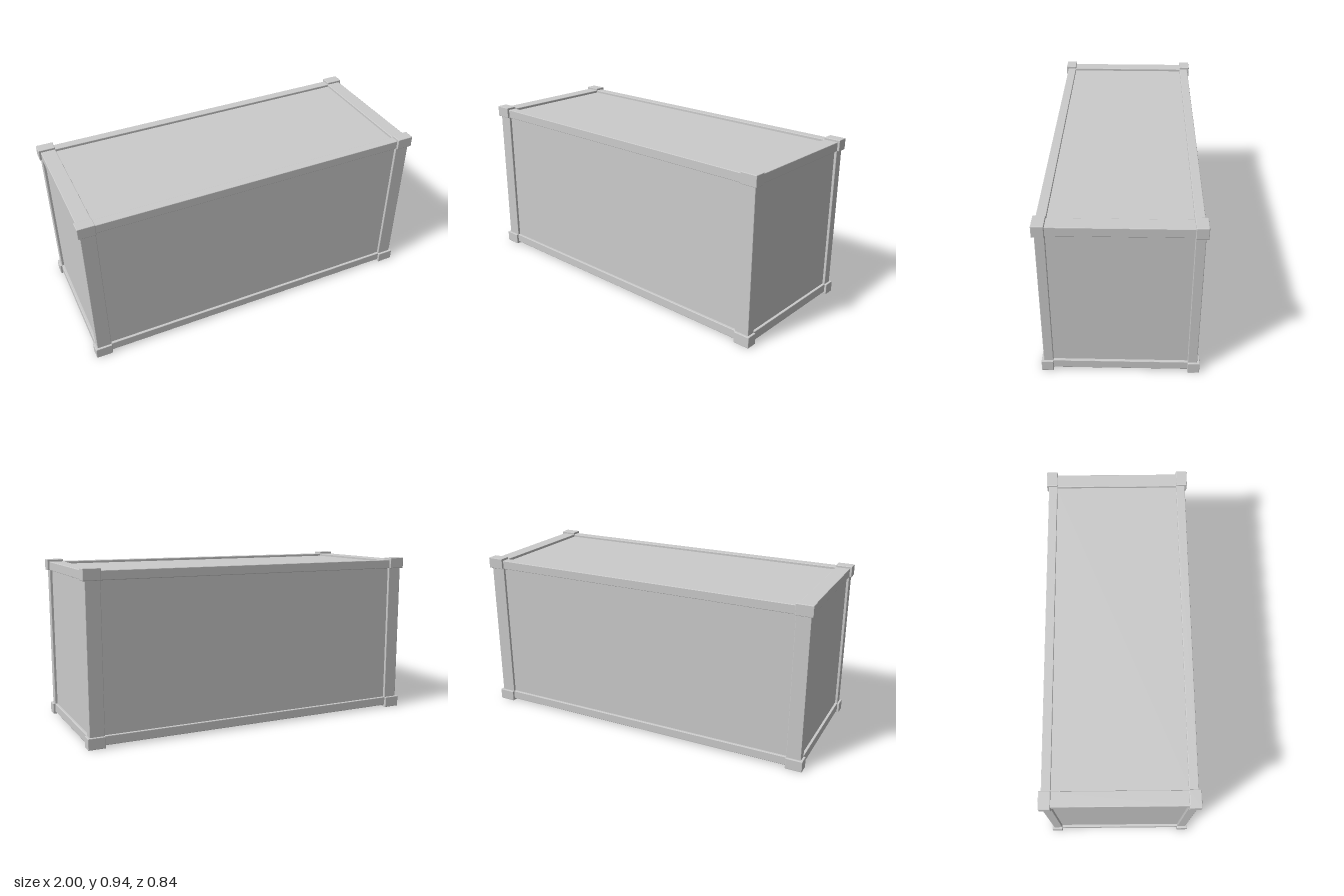
import * as THREE from 'three';
import { RoundedBoxGeometry } from 'three/addons/geometries/RoundedBoxGeometry.js';

// Overall half sizes and the corner block size
const X = 1, Y = 0.4675, Z = 0.418;
const CX = 0.095, CY = 0.063, CZ = 0.063;
const STEP = 0.0125;  // frame bars sit this far inside the corner blocks
const INSET = 0.027;  // wall panels sit this far inside the corner blocks
const BEVEL = 0.003;

export function createModel() {
  const model = new THREE.Group();
  model.name = 'cargoContainer';
  const material = new THREE.MeshStandardMaterial({ color: 0xcccccc, flatShading: true });

  const add = (name, size, pos, bevel = BEVEL) => {
    const geometry = bevel ? new RoundedBoxGeometry(...size, 1, bevel) : new THREE.BoxGeometry(...size);
    const mesh = new THREE.Mesh(geometry, material);
    mesh.name = name;
    mesh.position.set(pos[0], pos[1] + Y, pos[2]);
    model.add(mesh);
  };

  // Closed body: walls, roof and floor
  add('bodyPanels', [2 * (X - INSET), 2 * (Y - INSET), 2 * (Z - INSET)], [0, 0, 0], 0);

  // Bar thickness and centre line along each axis
  const tx = CX - STEP, ty = CY - STEP, tz = CZ - STEP;
  const bx = X - STEP - tx / 2, by = Y - STEP - ty / 2, bz = Z - STEP - tz / 2;
  const lap = 0.02; // bars run slightly into the corner blocks

  for (const a of [-1, 1]) {
    for (const b of [-1, 1]) {
      add('sideRail', [2 * (X - CX) + lap, ty, tz], [0, a * by, b * bz]);
      add('cornerPost', [tx, 2 * (Y - CY) + lap, tz], [a * bx, 0, b * bz]);
      add('endRail', [tx, ty, 2 * (Z - CZ) + lap], [a * bx, b * by, 0]);
      // Corner blocks, bottom and top
      for (const c of [-1, 1]) {
        add('cornerBlock', [CX, CY, CZ], [a * (X - CX / 2), c * (Y - CY / 2), b * (Z - CZ / 2)]);
      }
    }
  }
  return model;
}
